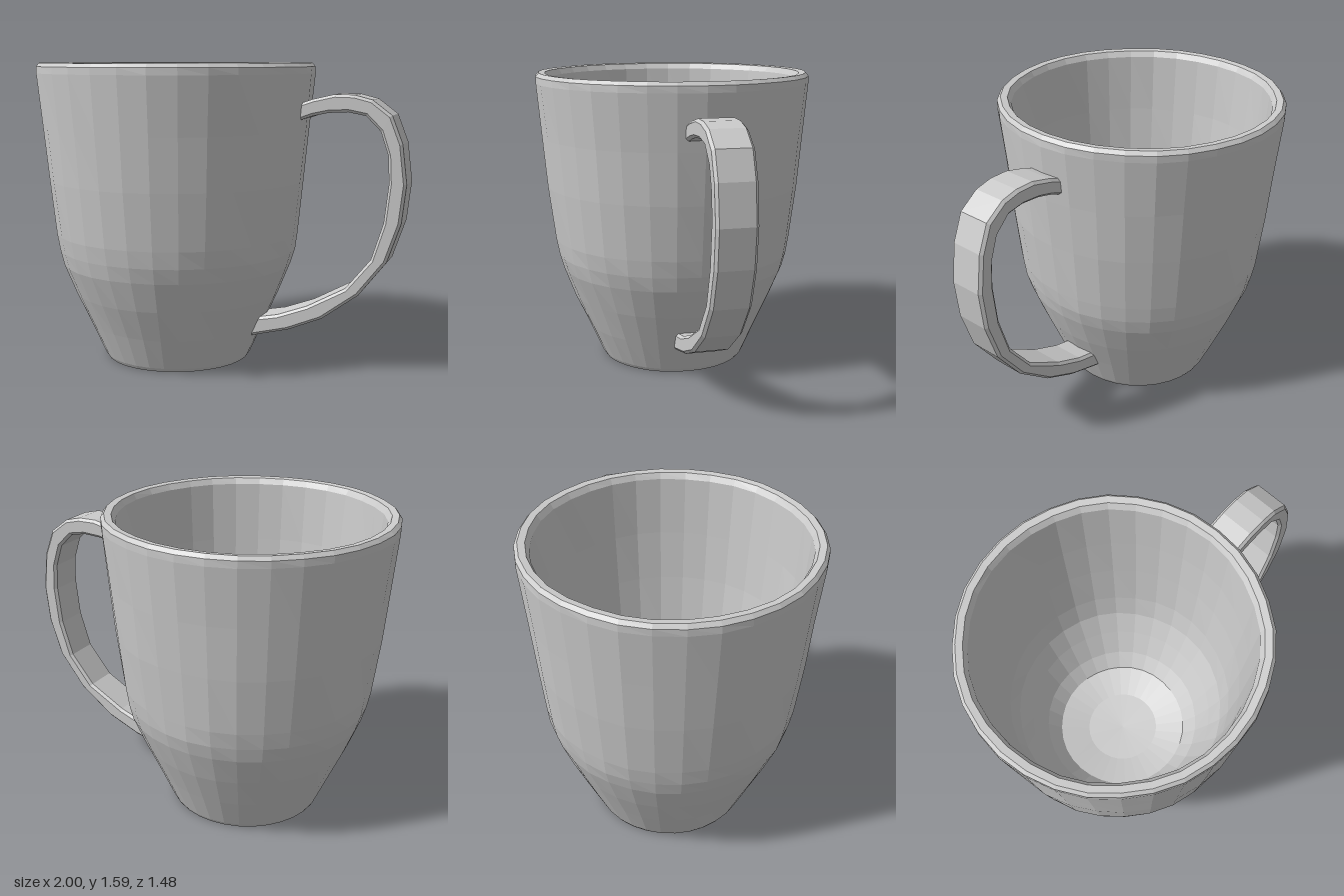
import * as THREE from 'three';

const material = new THREE.MeshStandardMaterial({ color: 0xcccccc, flatShading: true });
const toVectors = (pairs) => pairs.map(([x, y]) => new THREE.Vector2(x, y));

// Gentle hand-made unevenness, a smooth function of position so seams stay closed
function roughen(geometry, amount) {
  const p = geometry.attributes.position;
  for (let i = 0; i < p.count; i++) {
    const x = p.getX(i), y = p.getY(i), z = p.getZ(i);
    const k = 1 + amount * Math.sin(9 * x + 14 * y) * Math.cos(11 * z - 8 * y);
    p.setXYZ(i, x * k, y, z * k);
  }
  geometry.computeVertexNormals();
  return geometry;
}

// Cup wall: recessed base, outer side, rim, inner side and rounded floor
function createCup() {
  const profile = toVectors([
    [0, 0.035], [0.2, 0.035], [0.35, 0.025], [0.375, 0.002], [0.392, 0], [0.405, 0.02],
    [0.48, 0.19], [0.555, 0.36], [0.62, 0.52], [0.642, 0.6], [0.657, 0.69],
    [0.69, 0.98], [0.715, 1.25], [0.743, 1.54], [0.742, 1.575], [0.725, 1.594],
    [0.69, 1.59], [0.672, 1.56],
    [0.65, 1.25], [0.625, 0.98], [0.592, 0.69], [0.56, 0.53], [0.5, 0.39],
    [0.43, 0.24], [0.36, 0.15], [0.2, 0.11], [0, 0.1],
  ]);
  const cup = new THREE.Mesh(roughen(new THREE.LatheGeometry(profile, 32), 0.006), material);
  cup.name = 'cup';
  cup.position.x = -0.257;
  return cup;
}

// Handle: flat band, outer edge from the top down, inner edge back up
function createHandle() {
  const outline = toVectors([
    [0.43, 1.385], [0.52, 1.415], [0.63, 1.44], [0.73, 1.438], [0.82, 1.415], [0.92, 1.34],
    [0.975, 1.2], [1, 1.0], [0.978, 0.8], [0.91, 0.6], [0.77, 0.42],
    [0.58, 0.28], [0.4, 0.205], [0.21, 0.157], [0.17, 0.15],
    [0.19, 0.25], [0.34, 0.28], [0.5, 0.34], [0.7, 0.45], [0.83, 0.61],
    [0.89, 0.8], [0.912, 1.0], [0.905, 1.14], [0.865, 1.26], [0.79, 1.335],
    [0.7, 1.352], [0.6, 1.347], [0.52, 1.33], [0.43, 1.3],
  ]);
  const bevel = 0.014, width = 0.2;
  const geometry = new THREE.ExtrudeGeometry(new THREE.Shape(outline), {
    depth: width - 2 * bevel, bevelEnabled: true, bevelSegments: 1,
    bevelSize: bevel, bevelThickness: bevel, bevelOffset: -bevel,
  });
  geometry.translate(0, 0, bevel - width / 2);
  const handle = new THREE.Mesh(geometry, material);
  handle.name = 'handle';
  return handle;
}

export function createModel() {
  const mug = new THREE.Group();
  mug.name = 'mug';
  mug.add(createCup(), createHandle());
  return mug;
}
